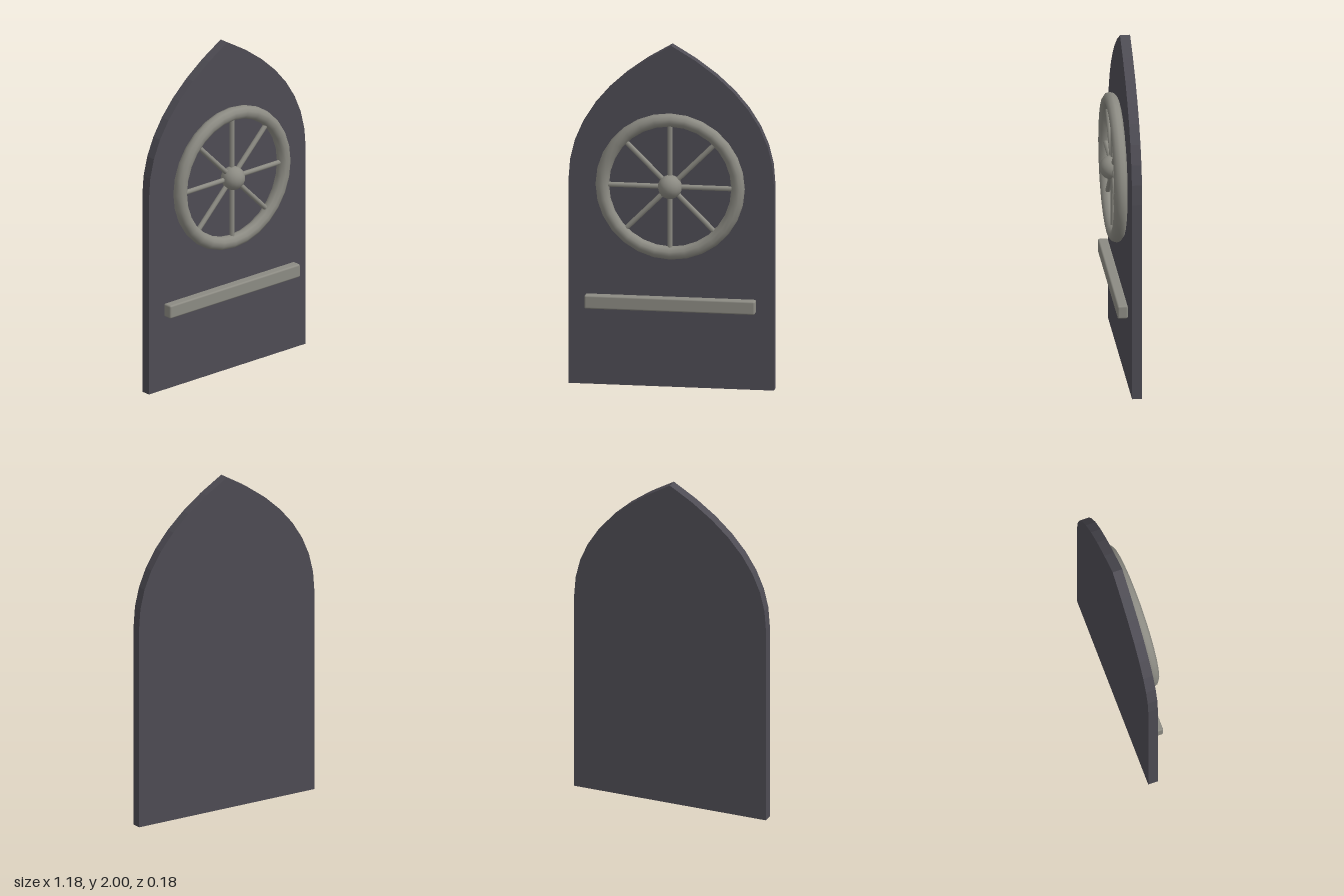
import * as THREE from 'three';
import { RoundedBoxGeometry } from 'three/addons/geometries/RoundedBoxGeometry.js';

const darkPanel = new THREE.MeshStandardMaterial({ color: 0x4e4c54 });
const metal = new THREE.MeshStandardMaterial({ color: 0x8c8b83 });

function part(name, geometry, material, x = 0, y = 0, z = 0) {
  const mesh = new THREE.Mesh(geometry, material);
  mesh.name = name;
  mesh.position.set(x, y, z);
  return mesh;
}

export function createModel() {
  const model = new THREE.Group();
  model.name = 'archedDoor';

  // Pointed-arch door slab
  const w = 0.59, spring = 1.2, shoulder = 1.68;
  const outline = new THREE.Shape();
  outline.moveTo(-w, 0);
  outline.lineTo(w, 0);
  outline.lineTo(w, spring);
  outline.quadraticCurveTo(w, shoulder, 0, 2);
  outline.quadraticCurveTo(-w, shoulder, -w, spring);
  outline.closePath();
  const slab = new THREE.ExtrudeGeometry(outline, { depth: 0.058, bevelEnabled: false, curveSegments: 8 });
  model.add(part('doorPanel', slab, darkPanel, 0, 0, -0.088));

  // Spoked wheel
  const wheel = new THREE.Group();
  wheel.name = 'wheel';
  wheel.position.set(0, 1.185, 0.01);
  wheel.add(part('wheelRim', new THREE.TorusGeometry(0.39, 0.039, 10, 28), metal));
  wheel.add(part('wheelHub', new THREE.SphereGeometry(0.069, 16, 12), metal, 0, 0, 0.009));
  const spokeLength = 0.37;
  for (let i = 0; i < 8; i++) {
    const a = (i * Math.PI) / 4;
    const spoke = part('wheelSpoke', new THREE.CylinderGeometry(0.0147, 0.0147, spokeLength, 8), metal,
      -Math.sin(a) * spokeLength / 2, Math.cos(a) * spokeLength / 2, 0);
    spoke.rotation.z = a;
    wheel.add(spoke);
  }
  model.add(wheel);

  // Horizontal push bar
  model.add(part('crossBar', new RoundedBoxGeometry(0.98, 0.079, 0.059, 2, 0.01), metal, 0, 0.495, 0.011));

  return model;
}
